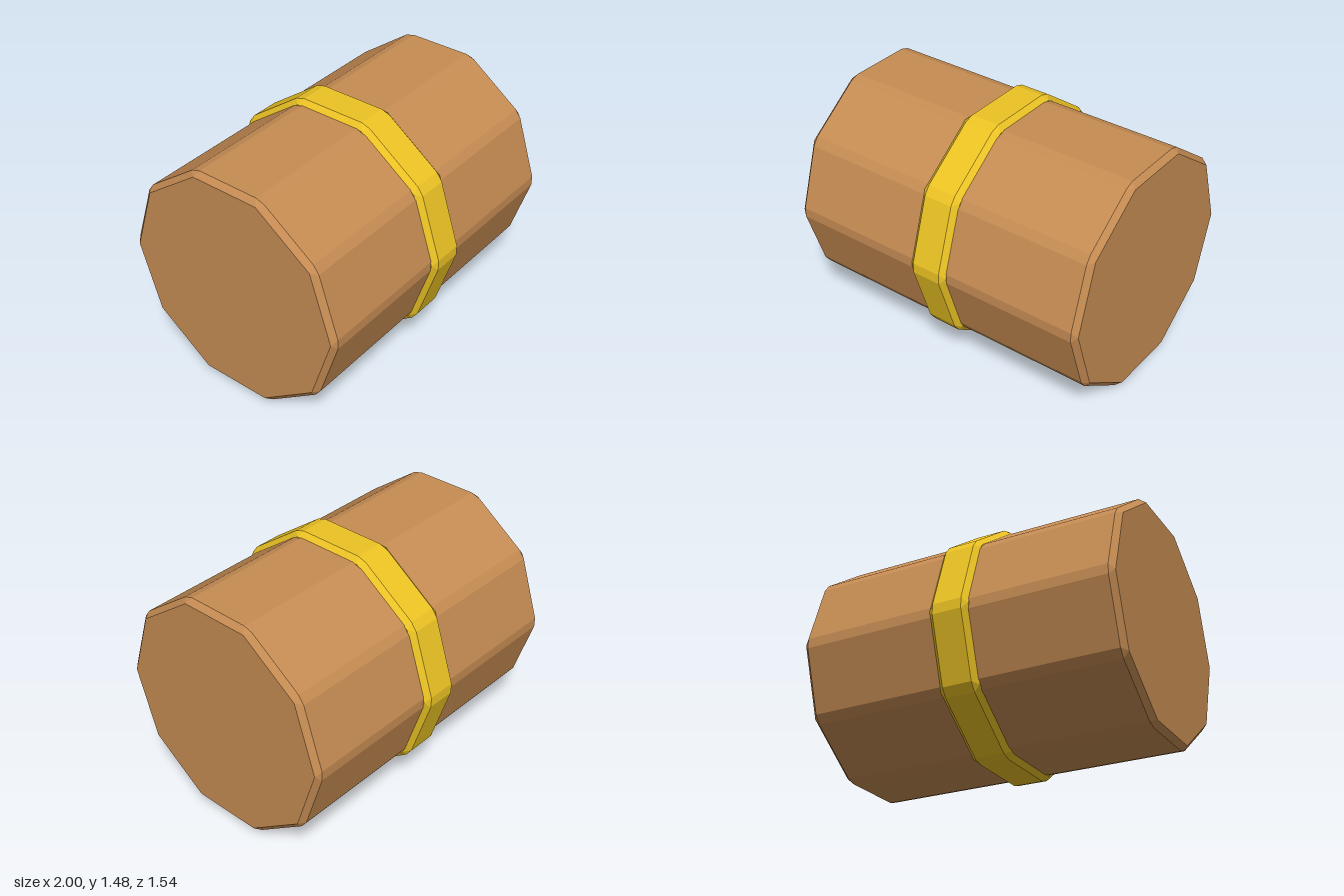
import * as THREE from 'three';
import { ConvexGeometry } from 'three/addons/geometries/ConvexGeometry.js';

const SIDES = 10;
const CENTRE_Y = 0.74;

// Decagon across the x axis, flat side up; cut trims each corner into a narrow facet.
function decagon(x, apothem, cut) {
  const points = [];
  const half = apothem * Math.tan(Math.PI / SIDES);
  for (let i = 0; i < SIDES; i++) {
    const a = (i / SIDES) * Math.PI * 2;
    for (const s of [-1, 1]) {
      const t = s * (half - cut);
      // With no cut, neighbouring sides share a corner, so keep only one of them
      if (cut === 0 && s < 0) continue;
      points.push(new THREE.Vector3(
        x,
        apothem * Math.cos(a) - t * Math.sin(a),
        apothem * Math.sin(a) + t * Math.cos(a)
      ));
    }
  }
  return points;
}

// Solid decagonal drum with chamfered rims and corners.
function chamferedDrum(name, halfLength, apothem, chamfer, color) {
  const points = [];
  for (const side of [-1, 1]) {
    points.push(...decagon(side * halfLength, apothem - chamfer, 0));
    points.push(...decagon(side * (halfLength - chamfer), apothem, chamfer));
  }
  const mesh = new THREE.Mesh(
    new ConvexGeometry(points),
    new THREE.MeshStandardMaterial({ color, flatShading: true })
  );
  mesh.name = name;
  mesh.position.y = CENTRE_Y;
  return mesh;
}

export function createModel() {
  const group = new THREE.Group();
  group.name = 'barrel';
  // Wooden body lying along x
  group.add(chamferedDrum('body', 1, 0.71, 0.032, 0xc68c53));
  // Raised metal hoop around the middle
  group.add(chamferedDrum('centreBand', 0.125, 0.74, 0.033, 0xecc324));
  return group;
}
